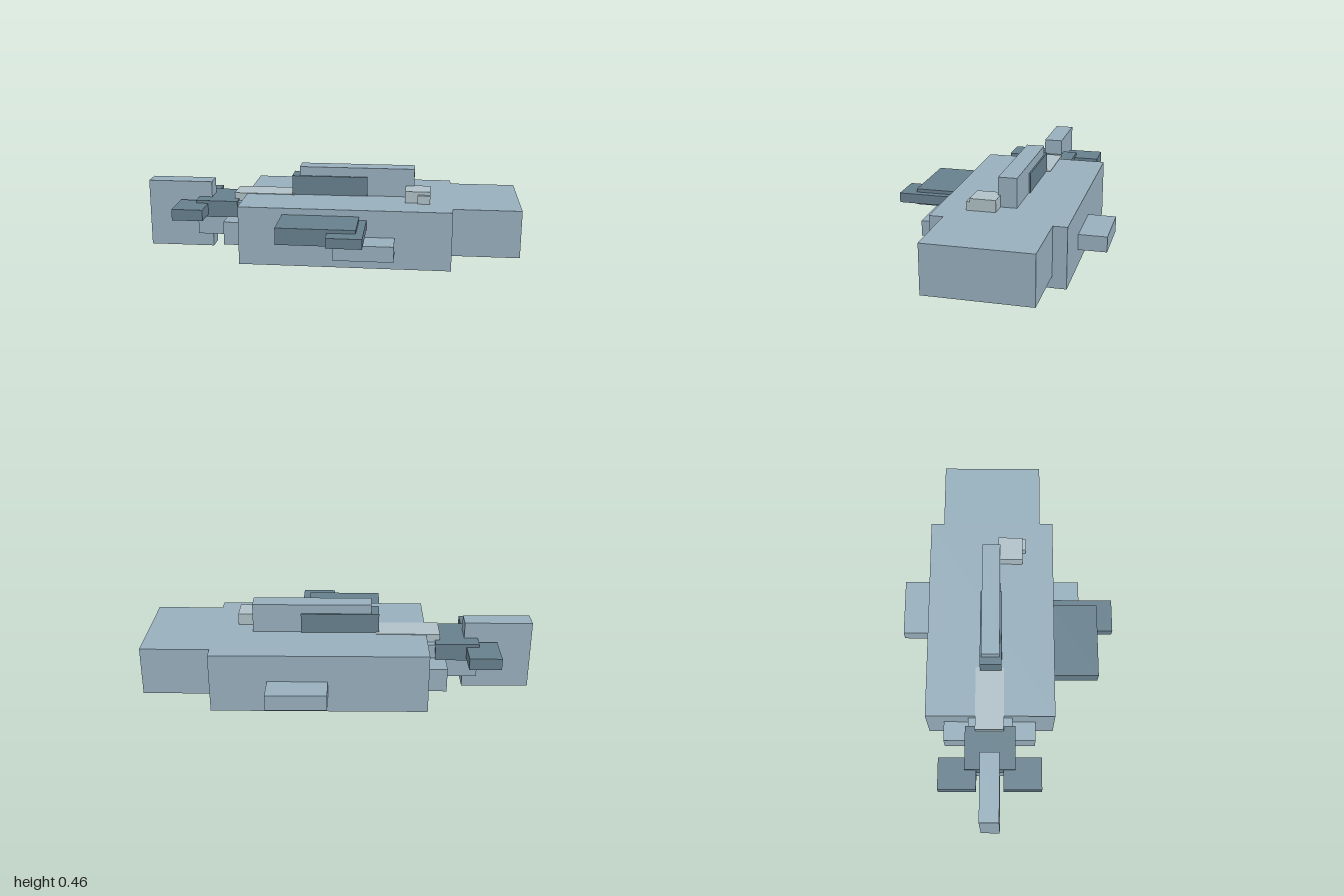
import * as THREE from 'three';

const material = (name, color) => {
  const m = new THREE.MeshStandardMaterial({ color });
  m.name = name;
  return m;
};

export function createModel() {
  const model = new THREE.Group();
  model.name = 'blockFish';
  const blue = material('scaleBlue', 0x97afbd);
  const dark = material('finSlate', 0x67808d);
  const pale = material('paleGrey', 0xb0c1c7);

  // Box given by its extents along each axis
  const block = (name, mat, [x0, x1], [y0, y1], [z0, z1]) => {
    const mesh = new THREE.Mesh(new THREE.BoxGeometry(x1 - x0, y1 - y0, z1 - z0), mat);
    mesh.position.set((x0 + x1) / 2, (y0 + y1) / 2, (z0 + z1) / 2);
    mesh.name = name;
    model.add(mesh);
  };

  // Body and head
  block('body', blue, [-0.45, 0.65], [0, 0.31], [-0.42, 0.25]);
  block('head', blue, [0.65, 1], [0.06, 0.31], [-0.35, 0.18]);

  // Tapering tail and upright tail fin
  block('tailBase', blue, [-0.55, -0.45], [0.07, 0.195], [-0.33, 0.15]);
  block('tailStem', blue, [-0.715, -0.45], [0.09, 0.27], [-0.2, 0.03]);
  block('tailFin', blue, [-1, -0.65], [0, 0.365], [-0.135, -0.035]);
  block('tailCollar', dark, [-0.72, -0.495], [0.19, 0.28], [-0.215, 0.045]);
  // Small side fins on the tail, mirrored about the fish's centre plane
  for (const side of [-1, 1]) {
    const a = -0.085 + side * 0.07, b = -0.085 + side * 0.265;
    block('tailSideFin', dark, [-0.82, -0.655], [0.205, 0.265], [Math.min(a, b), Math.max(a, b)]);
  }

  // Ridge on the back and the dorsal fin
  block('backRidge', pale, [-0.52, -0.19], [0.27, 0.313], [-0.163, -0.015]);
  block('dorsalFin', blue, [-0.165, 0.45], [0.31, 0.462], [-0.132, -0.037]);
  block('dorsalFinBase', dark, [-0.205, 0.2], [0.31, 0.413], [-0.14, -0.027]);

  // Lower side fins
  block('sideFinBack', blue, [0.055, 0.36], [0.087, 0.168], [-0.565, -0.42]);
  block('sideFinFront', blue, [0.055, 0.36], [0.087, 0.168], [0.25, 0.395]);

  // Large stepped fin on the front side
  block('upperFin', dark, [-0.22, 0.178], [0.19, 0.276], [0.25, 0.483]);
  block('upperFinTip', dark, [0.037, 0.215], [0.207, 0.258], [0.25, 0.565]);

  // Eye on top with a small step
  block('eye', pale, [0.405, 0.535], [0.31, 0.371], [-0.048, 0.082]);
  block('eyeStep', pale, [0.47, 0.535], [0.31, 0.354], [0.082, 0.1]);

  return model;
}
